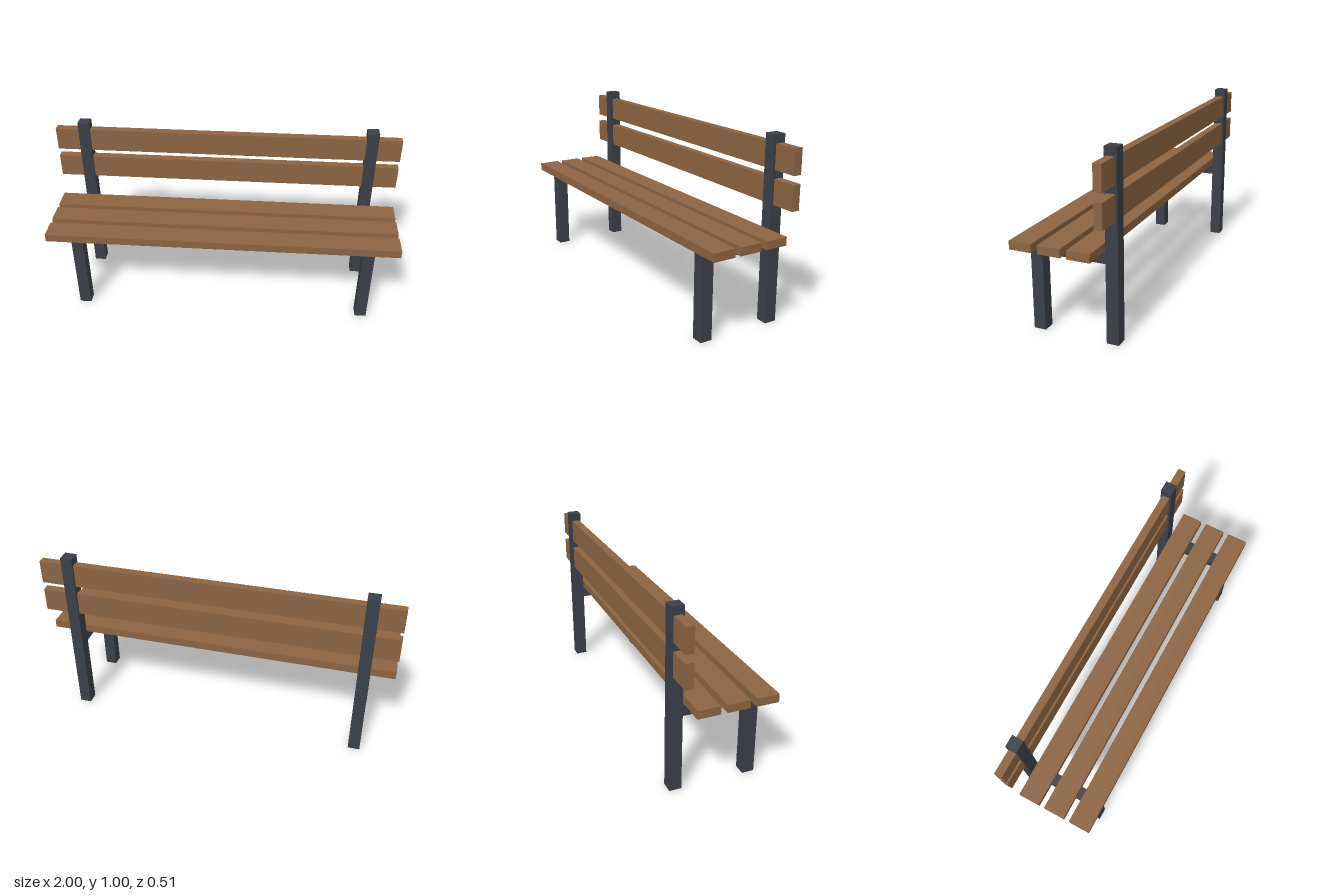
import * as THREE from 'three';

export function createModel() {
  const bench = new THREE.Group();
  bench.name = 'bench';
  const wood = new THREE.MeshStandardMaterial({ color: 0x8b6544 });
  wood.name = 'brown wood';
  const metal = new THREE.MeshStandardMaterial({ color: 0x3b4047 });
  metal.name = 'dark grey metal';

  // Box spanning y0..y1 and z0..z1, centred on x
  function bar(parent, name, material, x, width, [y0, y1], [z0, z1]) {
    const mesh = new THREE.Mesh(new THREE.BoxGeometry(width, y1 - y0, z1 - z0), material);
    mesh.position.set(x, (y0 + y1) / 2, (z0 + z1) / 2);
    mesh.name = name;
    parent.add(mesh);
  }

  // Side frames: front leg, seat rail and tall back post
  for (const [side, sign] of [['left', 1], ['right', -1]]) {
    const frame = new THREE.Group();
    frame.name = side + 'Frame';
    const x = sign * 0.831;
    const width = 0.066;
    bar(frame, 'frontLeg', metal, x, width, [0, 0.478], [0.156, 0.222]);
    bar(frame, 'seatRail', metal, x, width, [0.423, 0.478], [-0.189, 0.156]);
    bar(frame, 'backPost', metal, x, width, [0, 1], [-0.255, -0.189]);
    bench.add(frame);
  }

  // Seat slats, front to back
  for (const z of [0.195, 0.04, -0.116]) {
    bar(bench, 'seatSlat', wood, 0, 2, [0.478, 0.523], [z - 0.061, z + 0.061]);
  }

  // Backrest boards running through the posts
  for (const y of [0.711, 0.889]) {
    bar(bench, 'backBoard', wood, 0, 2, [y - 0.0665, y + 0.0665], [-0.244, -0.2]);
  }

  return bench;
}
